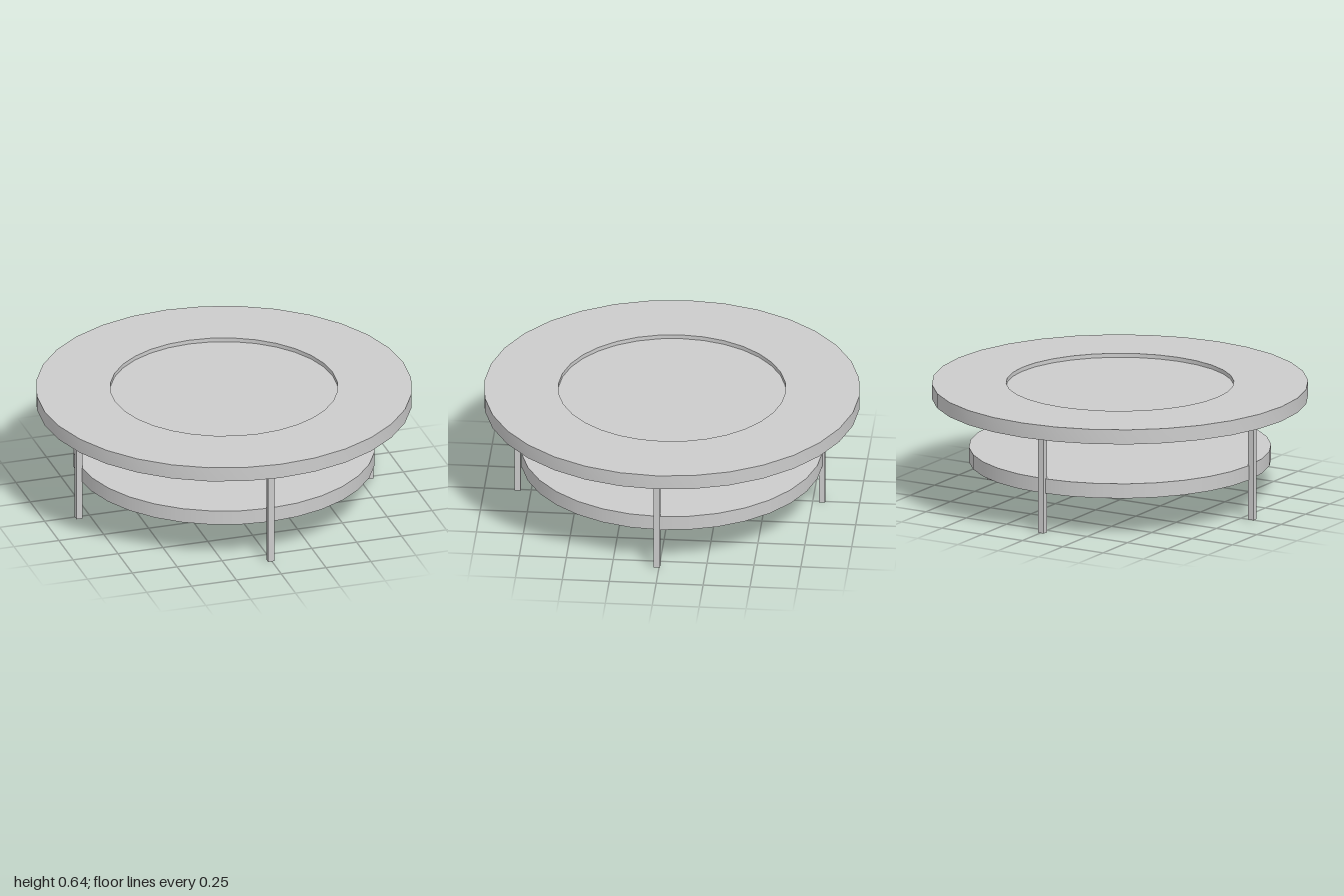
import * as THREE from 'three';
import { toCreasedNormals } from 'three/addons/utils/BufferGeometryUtils.js';

export function createModel() {
  const table = new THREE.Group();
  table.name = 'roundTable';
  const material = new THREE.MeshStandardMaterial({ color: 0xcccccc });

  const add = (name, geometry, x = 0, y = 0, z = 0) => {
    const mesh = new THREE.Mesh(geometry, material);
    mesh.name = name;
    mesh.position.set(x, y, z);
    table.add(mesh);
  };

  // Tabletop with a shallow round recess in the middle
  const profile = [[0, 0.565], [1, 0.565], [1, 0.645], [0.605, 0.645], [0.605, 0.623], [0, 0.623]]
    .map(([r, y]) => new THREE.Vector2(r, y));
  add('tabletop', toCreasedNormals(new THREE.LatheGeometry(profile, 32), 0.6));

  // Lower shelf
  add('shelf', new THREE.CylinderGeometry(0.803, 0.803, 0.08, 32), 0, 0.257, 0);

  // Four square legs touching the rim of the shelf
  const legHeight = 0.57;
  const legs = {
    leftLeg: [0.806, 0.012],
    rightLeg: [-0.814, 0.012],
    frontLeg: [-0.004, 0.822],
    backLeg: [-0.004, -0.8],
  };
  for (const [name, [x, z]] of Object.entries(legs)) {
    add(name, new THREE.BoxGeometry(0.034, legHeight, 0.034), x, legHeight / 2, z);
  }

  return table;
}
